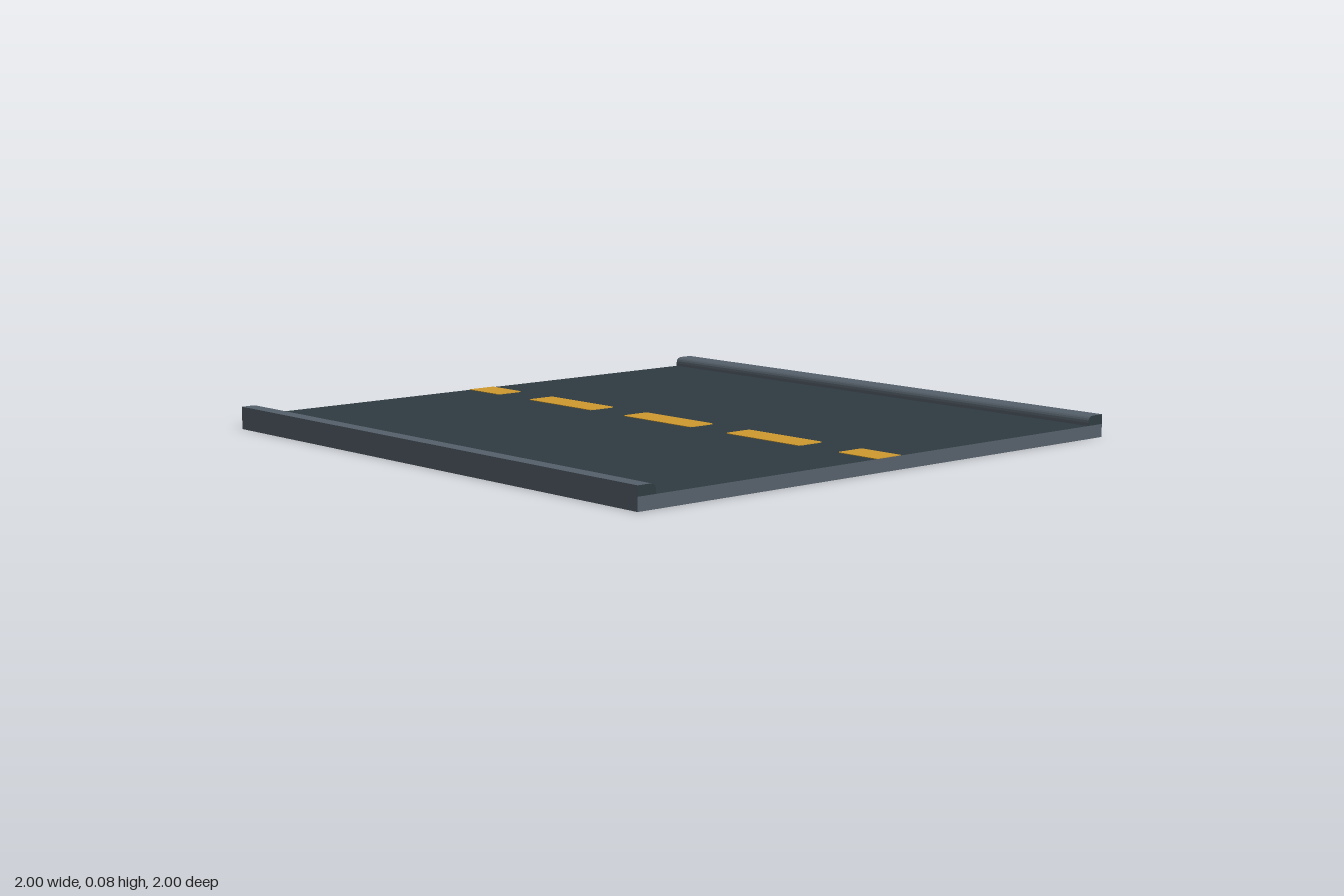
import * as THREE from 'three';

const SLAB_TOP = 0.043, CURB_TOP = 0.075, CURB_INNER = 0.932;

export function createModel() {
  const asphalt = new THREE.MeshStandardMaterial({ color: 0x2f3c42 });
  asphalt.name = 'asphalt';
  const concrete = new THREE.MeshStandardMaterial({ color: 0x56616b });
  concrete.name = 'concrete';
  const yellow = new THREE.MeshStandardMaterial({ color: 0xd09b30 });
  yellow.name = 'yellowPaint';

  const road = new THREE.Group();
  road.name = 'roadTile';
  const add = (name, geometry, material) => {
    const mesh = new THREE.Mesh(geometry, material);
    mesh.name = name;
    road.add(mesh);
    return mesh;
  };

  // Road slab: asphalt above and below, concrete edges
  const slab = new THREE.BoxGeometry(2, SLAB_TOP, 2);
  slab.translate(0, SLAB_TOP / 2, 0);
  add('slab', slab, [concrete, concrete, asphalt, asphalt, concrete, concrete]);

  // Curbs: rounded on the inner top edge, dark end caps
  const r = 0.022;
  for (const side of [1, -1]) {
    const profile = new THREE.Shape();
    profile.moveTo(side * CURB_INNER, SLAB_TOP);
    profile.lineTo(side, SLAB_TOP);
    profile.lineTo(side, CURB_TOP);
    profile.lineTo(side * (CURB_INNER + r), CURB_TOP);
    profile.quadraticCurveTo(side * CURB_INNER, CURB_TOP, side * CURB_INNER, CURB_TOP - r);
    profile.closePath();
    const curb = new THREE.ExtrudeGeometry(profile, { depth: 2, bevelEnabled: false, curveSegments: 5 });
    curb.translate(0, 0, -1);
    add(side > 0 ? 'leftCurb' : 'rightCurb', curb, [asphalt, concrete]);
  }

  // Dashed centre line: rounded corners, cut square at the tile ends
  const half = 0.053, c = 0.014;
  const dashes = [[-1, -0.835], [-0.667, -0.333], [-0.167, 0.167], [0.333, 0.667], [0.835, 1]];
  dashes.forEach(([z0, z1], i) => {
    const a = z0 === -1 ? 0 : c, b = z1 === 1 ? 0 : c;
    const s = new THREE.Shape();
    // Shape y maps to -z
    s.moveTo(-half + b, -z1);
    s.lineTo(half - b, -z1);
    if (b) s.quadraticCurveTo(half, -z1, half, -z1 + b);
    s.lineTo(half, -z0 - a);
    if (a) s.quadraticCurveTo(half, -z0, half - a, -z0);
    s.lineTo(-half + a, -z0);
    if (a) s.quadraticCurveTo(-half, -z0, -half, -z0 - a);
    s.lineTo(-half, -z1 + b);
    if (b) s.quadraticCurveTo(-half, -z1, -half + b, -z1);
    const dash = new THREE.ExtrudeGeometry(s, { depth: 0.002, bevelEnabled: false, curveSegments: 4 });
    dash.rotateX(-Math.PI / 2);
    dash.translate(0, SLAB_TOP, 0);
    add(`centreDash${i + 1}`, dash, yellow);
  });

  return road;
}
